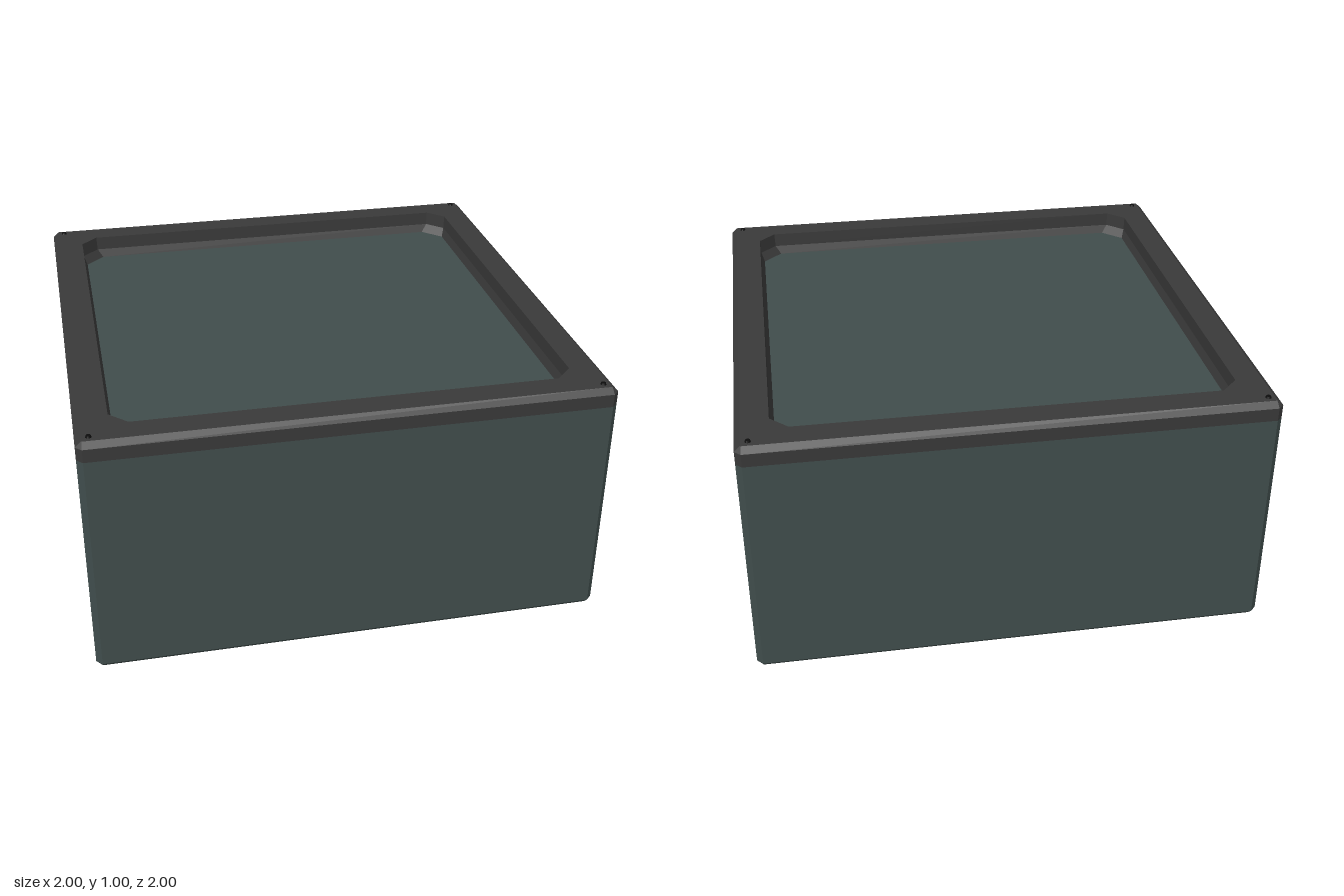
import * as THREE from 'three';

// Square ring with cut corners, counter-clockwise seen from above
function ring([half, cut, y]) {
  const a = half, b = half - cut;
  return [[a, b], [a, -b], [b, -a], [-b, -a], [-a, -b], [-a, b], [-b, a], [b, a]]
    .map(([x, z]) => new THREE.Vector3(x, y, z));
}

// Skins a list of rings [half, cut, y]; optional flat caps at either end
function loft(levels, capStart = false, capEnd = false) {
  const rings = levels.map(ring);
  const points = [];
  for (let i = 0; i < rings.length - 1; i++) {
    const lo = rings[i], hi = rings[i + 1];
    for (let j = 0; j < 8; j++) {
      const k = (j + 1) % 8;
      points.push(lo[j], lo[k], hi[k], lo[j], hi[k], hi[j]);
    }
  }
  const first = rings[0], last = rings[rings.length - 1];
  for (let j = 1; j < 7; j++) {
    if (capStart) points.push(first[0], first[j + 1], first[j]);
    if (capEnd) points.push(last[0], last[j], last[j + 1]);
  }
  const geometry = new THREE.BufferGeometry().setFromPoints(points);
  geometry.computeVertexNormals();
  return geometry;
}

export function createModel() {
  const model = new THREE.Group();
  const add = (name, geometry, color) => {
    const material = new THREE.MeshStandardMaterial({ color, flatShading: true });
    const mesh = new THREE.Mesh(geometry, material);
    mesh.name = name;
    model.add(mesh);
    return mesh;
  };
  const seam = 0.925, floor = 0.905;

  // Chamfered block; its sunken top is the floor of the recess
  add('body', loft([
    [0.977, 0.002, 0],
    [1, 0.023, 0.025],
    [1, 0.023, seam],
    [0.88, 0.07, seam],
    [0.858, 0.078, floor],
  ], true, true), 0x404d4c);

  // Frame: outer wall, bevel, flat top, upright inner wall and sloping foot
  add('rim', loft([
    [1, 0.023, seam],
    [1, 0.023, 0.977],
    [0.977, 0.002, 0.998],
    [0.873, 0.068, 0.998],
    [0.871, 0.068, 0.94],
    [0.858, 0.078, floor],
  ]), 0x393939);

  // Small studs in the four corners of the frame
  const stud = new THREE.CylinderGeometry(0.009, 0.013, 0.012, 12);
  for (const x of [-0.95, 0.95]) {
    for (const z of [-0.95, 0.95]) {
      add('cornerStud', stud, 0x0c0c0c).position.set(x, 0.999, z);
    }
  }
  return model;
}
